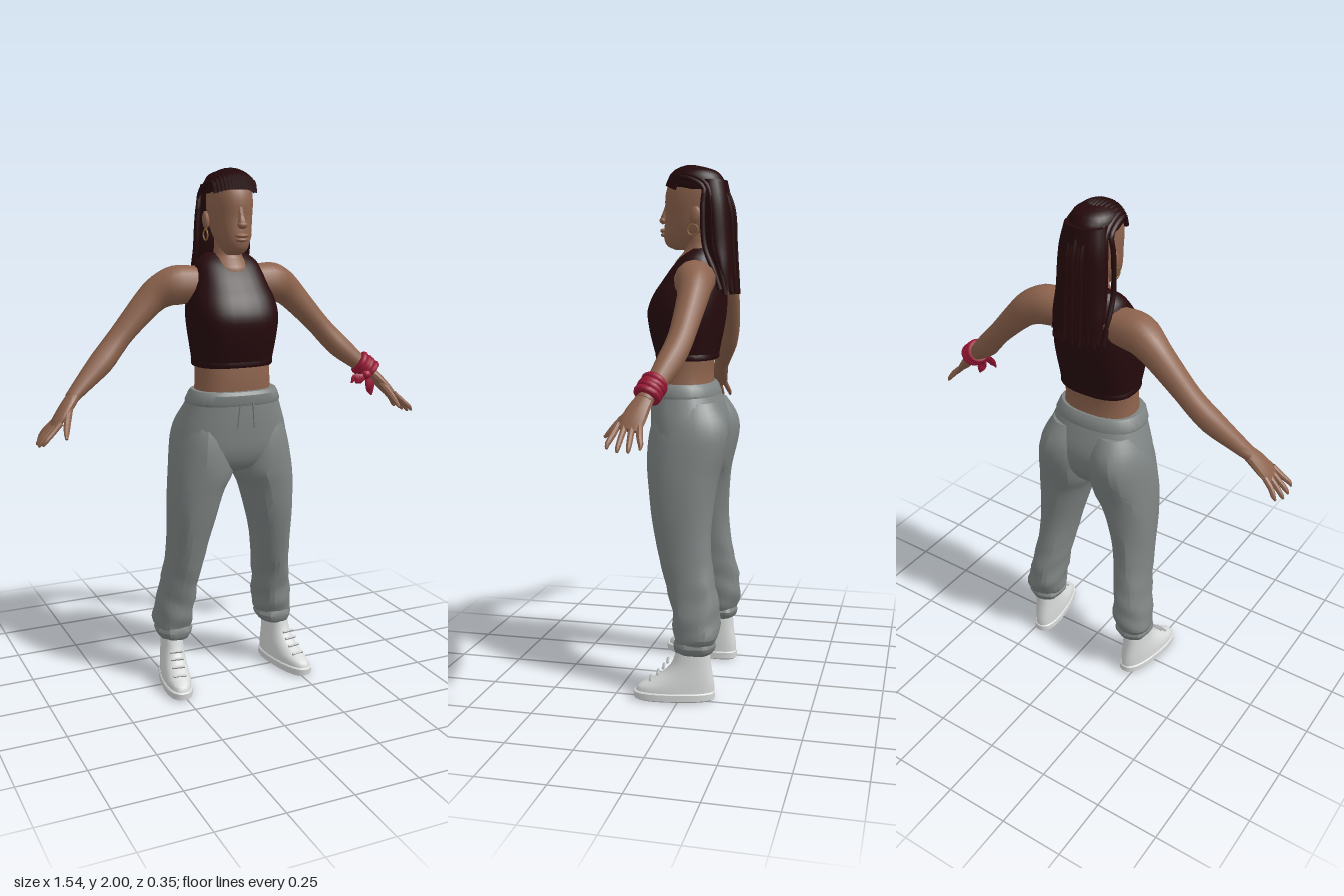
import * as THREE from 'three';
import { toCreasedNormals } from 'three/addons/utils/BufferGeometryUtils.js';

const V = (x, y, z) => new THREE.Vector3(x, y, z);
const mat = (name, color) => Object.assign(new THREE.MeshStandardMaterial({ color }), { name });

// Catmull-Rom interpolation between rows of numbers
function refine(rows, k) {
  const out = [];
  for (let i = 0; i < rows.length - 1; i++) {
    const [a, b, c, d] = [rows[Math.max(i - 1, 0)], rows[i], rows[i + 1], rows[Math.min(i + 2, rows.length - 1)]];
    for (let j = 0; j < k; j++) {
      const t = j / k;
      out.push(b.map((p, m) => p + 0.5 * t * (c[m] - a[m] + t * (2 * a[m] - 5 * p + 4 * c[m] - d[m] + t * (3 * (p - c[m]) + d[m] - a[m])))));
    }
  }
  out.push(rows[rows.length - 1]);
  return out;
}

// Closed skin over rings of points, always wound outward
function skinRings(rings, crease) {
  const n = rings[0].length, pts = rings.flat(), idx = [];
  const quad = (a, b, c, d) => idx.push(a, b, c, a, c, d);
  for (let i = 0; i < rings.length - 1; i++)
    for (let j = 0; j < n; j++) {
      const k = (j + 1) % n;
      quad(i * n + j, i * n + k, (i + 1) * n + k, (i + 1) * n + j);
    }
  for (const [r, flip] of [[0, true], [rings.length - 1, false]]) {
    const c = pts.length;
    pts.push(rings[r].reduce((s, p) => s.add(p), V(0, 0, 0)).divideScalar(n));
    for (let j = 0; j < n; j++) {
      const a = r * n + j, b = r * n + (j + 1) % n;
      idx.push(c, flip ? b : a, flip ? a : b);
    }
  }
  let volume = 0;
  const cross = V(0, 0, 0);
  for (let i = 0; i < idx.length; i += 3) volume += pts[idx[i]].dot(cross.crossVectors(pts[idx[i + 1]], pts[idx[i + 2]]));
  if (volume < 0) idx.reverse();
  const g = new THREE.BufferGeometry().setFromPoints(pts);
  g.setIndex(idx);
  return toCreasedNormals(g, crease);
}

const se = (v, p) => Math.sign(v) * Math.abs(v) ** (2 / p);

// Level sections: rows of [y, xMin, xMax, zBack, zFront]
function stack(rows, { n = 24, p = 2.4, k = 3, s = 1, wobble = () => 0, crease = 0.6 } = {}) {
  return skinRings(refine(rows, k).map(([y, x0, x1, z0, z1]) => Array.from({ length: n }, (_, j) => {
    const t = j / n * Math.PI * 2, w = 1 + wobble(y, t);
    return V(s * ((x0 + x1) / 2 + (x1 - x0) / 2 * w * se(Math.cos(t), p)), y, (z0 + z1) / 2 + (z1 - z0) / 2 * w * se(Math.sin(t), p));
  })), crease);
}
const sym = rows => rows.map(([y, h, z0, z1]) => [y, -h, h, z0, z1]);

// Sections across a path: rows of [x, y, z, radiusUp, radiusSide]
function limb(rows, { n = 12, k = 3, s = 1, crease = 0.6 } = {}) {
  const fine = refine(rows, k), at = i => V(...fine[Math.min(Math.max(i, 0), fine.length - 1)].slice(0, 3));
  return skinRings(fine.map((r, i) => {
    const t = at(i + 1).sub(at(i - 1)).normalize();
    const side = V(0, 0, 1).addScaledVector(t, -t.z).normalize(), up = V(0, 0, 0).crossVectors(side, t);
    return Array.from({ length: n }, (_, j) => {
      const a = j / n * Math.PI * 2;
      const q = at(i).addScaledVector(up, Math.cos(a) * r[3]).addScaledVector(side, Math.sin(a) * r[4]);
      q.x *= s;
      return q;
    });
  }), crease);
}

export function createModel() {
  const root = new THREE.Group();
  root.name = 'standingWoman';
  const skin = mat('skin', 0x8d634d), hair = mat('hair', 0x25090b), cloth = mat('topCloth', 0x260a0d);
  const grey = mat('trouserGrey', 0x7f8584), white = mat('shoeWhite', 0xd8d9d9), lace = mat('laceGrey', 0xbfc1c1);
  const red = mat('scarfRed', 0x9b1836), gold = mat('earringGold', 0x8a6538);
  const add = (name, geo, m, pos = [0, 0, 0], scale = [1, 1, 1]) => {
    const mesh = new THREE.Mesh(geo, m);
    mesh.name = name;
    mesh.position.set(...pos);
    mesh.scale.set(...scale);
    root.add(mesh);
    return mesh;
  };
  const ball = new THREE.SphereGeometry(1, 14, 10);

  // Midriff, neck and cropped top
  add('midriff', stack(sym([[1.13, .155, -.08, .13], [1.22, .145, -.07, .134], [1.31, .145, -.08, .13]])), skin);
  add('neck', stack(sym([[1.58, .07, -.07, .07], [1.63, .078, -.07, .074], [1.66, .07, -.068, .054], [1.69, .052, -.065, .034], [1.77, .048, -.065, .035]]), { p: 2 }), skin);
  add('croppedTop', stack(sym([[1.28, .15, -.088, .136], [1.34, .158, -.1, .153], [1.40, .166, -.112, .166], [1.46, .171, -.12, .17],
    [1.52, .164, -.122, .147], [1.57, .147, -.12, .113], [1.62, .132, -.11, .077], [1.66, .115, -.092, .04], [1.69, .078, -.075, -.005]]), { n: 28, p: 2.6 }), cloth);
  add('topHem', stack(sym([[1.275, .15, -.088, .136], [1.28, .153, -.091, .139], [1.295, .154, -.092, .141], [1.3, .152, -.09, .14]]), { n: 28, p: 2.6, k: 1 }), cloth);

  // Head with a plain face
  add('head', stack(sym([[1.685, .024, .01, .07], [1.70, .04, -.01, .103], [1.73, .056, -.04, .115], [1.77, .068, -.075, .113], [1.82, .076, -.095, .108],
    [1.88, .08, -.105, .109], [1.93, .075, -.1, .094], [1.965, .055, -.075, .06], [1.98, .02, -.03, .02]]), { p: 2.2 }), skin);
  add('noseBridge', limb([[0, 1.87, .1, .006, .01], [0, 1.83, .109, .01, .01], [0, 1.8, .117, .014, .015], [0, 1.783, .115, .008, .012]].map(r => [r[0], r[1], r[2], r[4], r[3]])), skin);
  add('noseTip', ball, skin, [0, 1.795, .12], [.02, .013, .014]);
  add('upperLip', ball, skin, [0, 1.757, .115], [.027, .009, .016]);
  add('lowerLip', ball, skin, [0, 1.742, .114], [.024, .009, .015]);

  // Hair cap, back mass and braids
  add('hairCap', stack(sym([[1.905, .081, -.12, .06], [1.92, .086, -.12, .1], [1.95, .083, -.11, .09], [1.975, .066, -.085, .062], [1.99, .03, -.04, .03]]), { p: 2.1 }), hair);
  add('backHair', stack(sym([[1.94, .08, -.125, -.01], [1.87, .092, -.14, -.03], [1.8, .097, -.148, -.04], [1.7, .1, -.155, -.05], [1.62, .103, -.16, -.09], [1.55, .092, -.163, -.12]]), { p: 2.2 }), hair);
  const braid = (u, out, tip) => {
    const q = u * u, path = new THREE.CatmullRomCurve3([
      V(.078 * u, 1.92 - .015 * q, .1 - .04 * q), V(.08 * u, 1.968 - .025 * q, .074 - .03 * q), V(.085 * u, 1.99 - .045 * q, .01), V(.092 * u, 1.955 - .045 * q, -.085 + .03 * q),
      V(.1 * u, 1.85, -.14 - out + .085 * q), V(.106 * u, 1.7, -.153 - out + .09 * q), V(.108 * u, 1.61, -.158 - out + .06 * q), V(.105 * u, tip, -.162 - out + .04 * q)]);
    return new THREE.TubeGeometry(path, 30, .0095, 6);
  };
  for (let i = 0; i < 15; i++) add('braid', braid((i - 7) / 7, (i % 2) * .006, 1.53 + .012 * Math.sin(i * 2.3)), hair);

  // Hips and waistband
  add('hips', stack(sym([[.865, .07, -.05, .07], [.89, .15, -.09, .12], [.95, .222, -.125, .148], [1.03, .219, -.135, .155], [1.11, .192, -.112, .157], [1.18, .166, -.083, .155]]), { n: 28 }), grey);
  add('waistband', stack(sym([[1.135, .182, -.1, .158], [1.145, .184, -.101, .162], [1.175, .172, -.09, .162], [1.187, .164, -.08, .152]]), { n: 28, k: 1 }), grey);

  for (const s of [1, -1]) {
    // Trouser leg with creases growing toward the ankle
    const wobble = (y, t) => {
      const low = THREE.MathUtils.smoothstep(.62 - y, 0, .35);
      return low * (.04 * Math.sin(y * 62 + 2 * t) + .03 * Math.sin(3 * t - y * 35)) + .012 * Math.sin(5 * t + y * 14);
    };
    add('trouserLeg', stack([[1.12, .02, .175, -.105, .11], [1.06, .004, .208, -.142, .13], [1.0, .002, .227, -.156, .143], [.93, .002, .238, -.147, .15],
      [.86, .008, .246, -.13, .15], [.8, .04, .25, -.118, .142], [.7, .072, .253, -.107, .128], [.6, .1, .254, -.104, .106], [.5, .118, .258, -.115, .082],
      [.4, .132, .27, -.135, .052], [.31, .138, .287, -.146, .034], [.25, .143, .297, -.143, .026], [.215, .16, .283, -.126, .018]], { s, wobble, crease: .35, p: 2.2 }), grey);
    add('ankleCuff', stack([[.18, .172, .272, -.115, .015], [.19, .158, .284, -.125, .022], [.212, .148, .293, -.132, .026], [.232, .16, .285, -.125, .02]],
      { s, k: 2, wobble: (y, t) => .03 * Math.sin(7 * t), crease: .35 }), grey);
    add('drawstring', limb([[.025, 1.15, .164, .004, .004], [.03, 1.1, .162, .004, .004], [.034, 1.05, .16, .004, .004]], { s, n: 6 }), grey);

    // High-top shoe, toe turned out
    const shoe = new THREE.Group();
    shoe.name = 'shoe';
    shoe.position.set(s * .23, 0, -.05);
    shoe.rotation.y = s * .17;
    root.add(shoe);
    shoe.add(add('sole', stack([[0, -.05, .05, -.075, .215], [.006, -.057, .057, -.083, .227], [.03, -.057, .057, -.083, .229], [.034, -.053, .053, -.079, .224]], { s, k: 1, p: 2.5 }), white));
    shoe.add(add('shoeUpper', stack([[.02, -.053, .053, -.079, .222], [.05, -.052, .052, -.08, .212], [.075, -.05, .05, -.077, .165], [.105, -.047, .047, -.072, .115],
      [.14, -.044, .044, -.067, .083], [.18, -.042, .042, -.064, .068], [.205, -.04, .04, -.06, .062]], { s, p: 2.3 }), white));
    for (let i = 0; i < 4; i++) {
      const strip = add('lace', new THREE.BoxGeometry(.05, .008, .008), lace, [0, .077 + i * .024, .163 - i * .031 + i * i * .003]);
      strip.rotation.x = .6;
      shoe.add(strip);
    }

    // Arm, palm, fingers and thumb
    add('arm', limb([[.08, 1.58, -.035, .06, .065], [.14, 1.575, -.04, .07, .072], [.2, 1.572, -.045, .074, .073], [.25, 1.552, -.058, .066, .064], [.3, 1.513, -.063, .056, .056],
      [.4, 1.41, -.055, .044, .048], [.45, 1.355, -.045, .044, .047], [.5, 1.303, -.028, .045, .046], [.57, 1.242, -.002, .034, .037], [.63, 1.19, .022, .023, .03]], { s, n: 14 }), skin);
    add('palm', limb([[.615, 1.203, .016, .022, .028], [.65, 1.165, .035, .022, .039], [.685, 1.125, .05, .018, .045], [.708, 1.1, .057, .01, .04]], { s }), skin);
    for (let f = 0; f < 4; f++) {
      const z = .022 + f * .024, tip = .005 + f * .036, reach = [.752, .766, .768, .762][f], drop = [1.045, 1.036, 1.036, 1.046][f];
      add('finger', limb([[.69, 1.118, z, .011, .012], [.725, 1.085, (z + tip) / 2, .0105, .011], [reach - .01, drop + .015, tip, .009, .009], [reach, drop, tip, .004, .004]], { s, n: 8, k: 2 }), skin);
    }
    add('thumb', limb([[.645, 1.165, .05, .015, .016], [.665, 1.125, .093, .014, .014], [.678, 1.092, .123, .011, .011], [.685, 1.07, .145, .005, .005]], { s, n: 8 }), skin);

    // Ear and hoop earring
    add('ear', ball, skin, [s * .084, 1.81, -.022], [.012, .034, .02]).rotation.x = -.2;
    add('earring', new THREE.TorusGeometry(.02, .003, 6, 18), gold, [s * .088, 1.757, -.015]).rotation.y = Math.PI / 2;
  }

  // Knotted scarf on the left wrist
  const along = V(.06, -.052, .022).normalize();
  for (let i = 0; i < 4; i++) {
    const d = (i - 1.5) * .017;
    const wrap = add('scarfWrap', new THREE.TorusGeometry(.036, .0135, 8, 20), red, [.597 + along.x * d, 1.222 + along.y * d, .01 + along.z * d]);
    wrap.quaternion.setFromUnitVectors(V(0, 0, 1), along.clone().add(V(.12 * Math.sin(i * 2), .15 * Math.cos(i * 3), 0)).normalize());
  }
  add('scarfKnot', ball, red, [.585, 1.195, .045], [.022, .02, .02]);
  for (const [x, y, z] of [[.52, 1.163, .04], [.612, 1.108, .045]])
    add('scarfTail', limb([[.585, 1.195, .045, .008, .008], [(x + .585) / 2, (y + 1.195) / 2, (z + .05) / 2 + .004, .02, .007], [x + (.585 - x) * .2, y + .02, z, .016, .006], [x, y, z, .002, .002]], { n: 8 }), red);
  return root;
}
